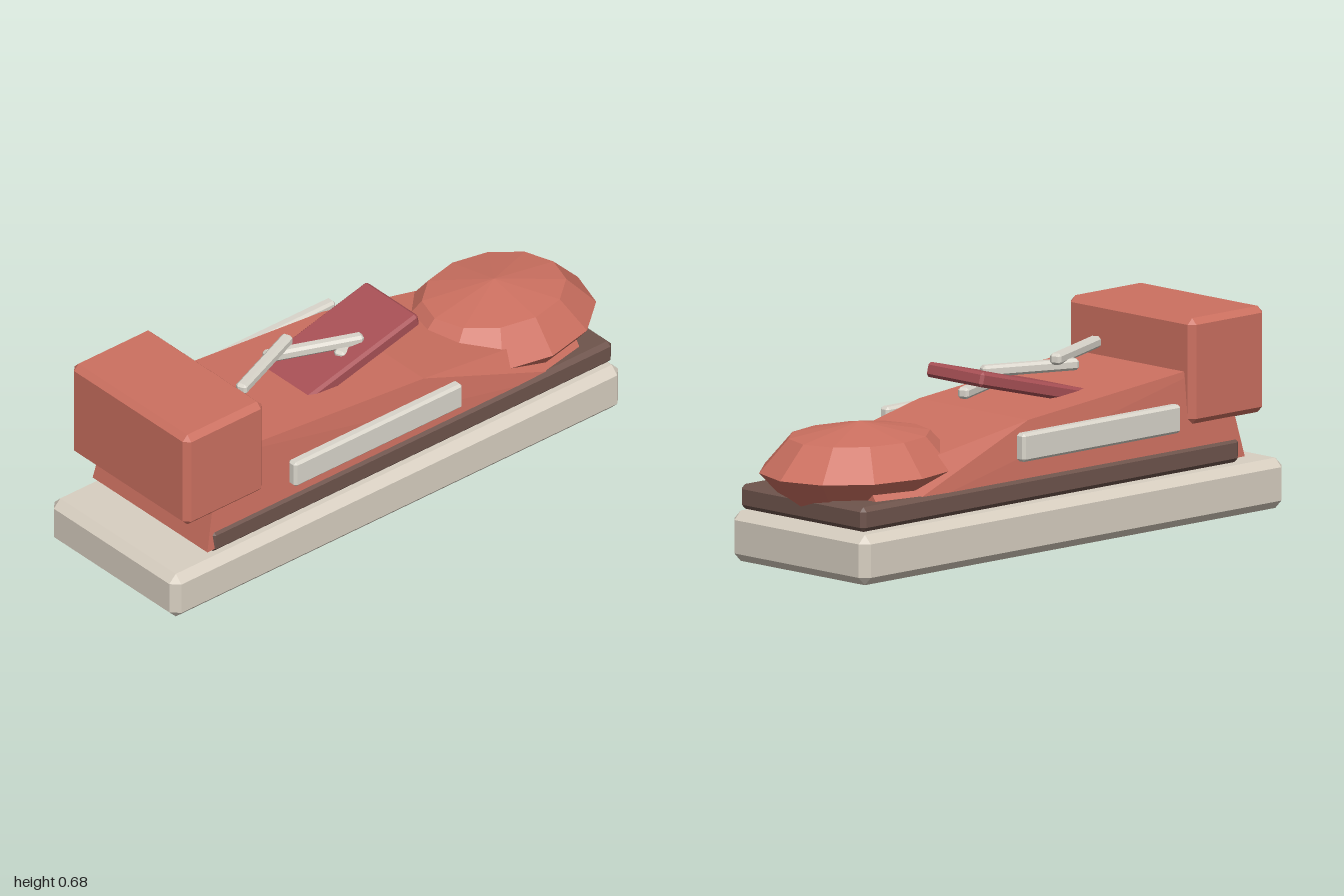
import * as THREE from 'three';
import { ConvexGeometry } from 'three/addons/geometries/ConvexGeometry.js';

const material = (color) => new THREE.MeshStandardMaterial({ color, flatShading: true });
const RED = material(0xcc7060);
const CREAM = material(0xd8cfc1);
const BROWN = material(0x6e544c);
const TONGUE = material(0xa85055);
const PALE = material(0xd9d5cb);

// Box with every edge cut at 45 degrees
function chamferedBox(w, h, d, c) {
  const points = [];
  const x = w / 2, y = h / 2, z = d / 2;
  for (const i of [-1, 1]) for (const j of [-1, 1]) for (const k of [-1, 1]) {
    points.push(
      new THREE.Vector3(i * x, j * (y - c), k * (z - c)),
      new THREE.Vector3(i * (x - c), j * y, k * (z - c)),
      new THREE.Vector3(i * (x - c), j * (y - c), k * z));
  }
  return new ConvexGeometry(points);
}

export function createModel() {
  const shoe = new THREE.Group();
  shoe.name = 'shoe';

  const add = (name, geometry, mat, x = 0, y = 0, z = 0) => {
    const mesh = new THREE.Mesh(geometry, mat);
    mesh.name = name;
    mesh.position.set(x, y, z);
    shoe.add(mesh);
    return mesh;
  };

  // Sole layers
  add('outsole', chamferedBox(1.925, 0.167, 0.634, 0.028), CREAM, -0.0375, 0.0835);
  add('midsole', chamferedBox(1.72, 0.082, 0.58, 0.015), BROWN, 0.045, 0.215);

  // Upper: wedge that slopes down and narrows toward the toe [x, y, half width]
  const profile = [
    [-0.835, 0.19, 0.287], [-0.76, 0.515, 0.255], [0.12, 0.437, 0.255],
    [0.8, 0.315, 0.2], [0.8, 0.19, 0.285],
  ];
  const corners = profile.flatMap(([x, y, z]) =>
    [new THREE.Vector3(x, y, z), new THREE.Vector3(x, y, -z)]);
  add('upper', new ConvexGeometry(corners), RED);

  // Faceted toe cap
  const toe = new THREE.SphereGeometry(1, 12, 4).scale(0.36, 0.152, 0.295);
  add('toeCap', toe, RED, 0.64, 0.318);

  // Heel collar
  add('collar', chamferedBox(0.338, 0.352, 0.584, 0.02), RED, -0.759, 0.501);

  // Side stripes
  for (const side of [-1, 1]) {
    add(side > 0 ? 'frontSidePanel' : 'backSidePanel',
      chamferedBox(0.72, 0.094, 0.04, 0.009), PALE, -0.14, 0.367, side * 0.317);
  }

  // Tilted tongue
  const tongue = add('tongue', chamferedBox(0.53, 0.05, 0.262, 0.01), TONGUE, -0.047, 0.5);
  tongue.rotation.z = 0.25;

  // Zigzag laces
  for (let i = 0; i < 3; i++) {
    const lace = add('lace' + (i + 1), chamferedBox(0.34, 0.038, 0.04, 0.009), PALE,
      -0.345 + i * 0.21, 0.568 - i * 0.0275);
    lace.rotation.y = (i % 2 ? -1 : 1) * 0.385;
  }

  return shoe;
}
